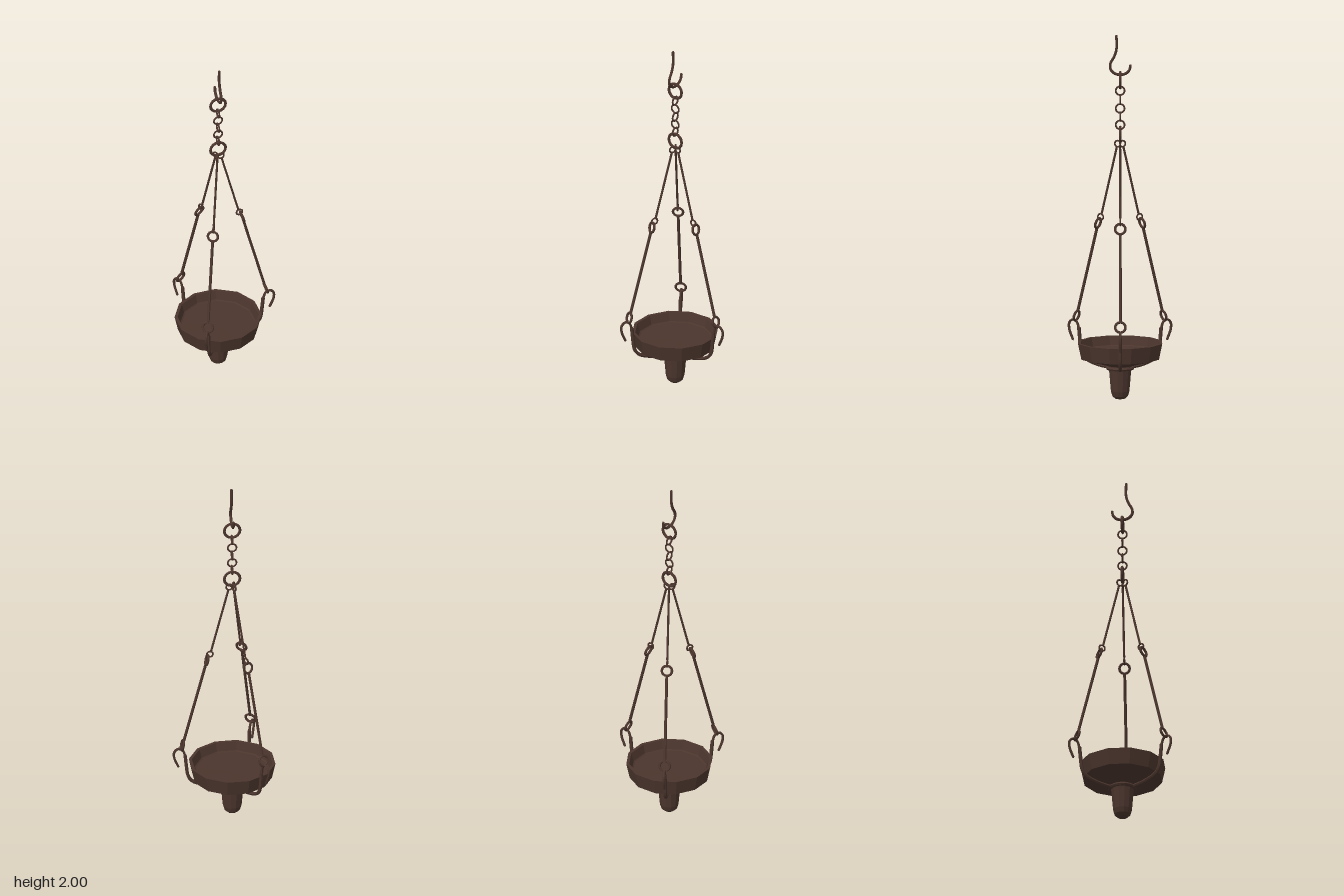
import * as THREE from 'three';

export function createModel() {
  const iron = new THREE.MeshStandardMaterial({ color: 0x4b352d });
  iron.name = 'dark brown iron';
  const root = new THREE.Group();
  root.name = 'hangingLamp';
  root.position.x = -0.05;

  // Adds a mesh with faceted normals
  function add(parent, name, geometry, x = 0, y = 0, z = 0) {
    const flat = geometry.index ? geometry.toNonIndexed() : geometry;
    flat.computeVertexNormals();
    const mesh = new THREE.Mesh(flat, iron);
    mesh.name = name;
    mesh.position.set(x, y, z);
    parent.add(mesh);
    return mesh;
  }
  const ring = (parent, name, radius, wire, x, y) =>
    add(parent, name, new THREE.TorusGeometry(radius, wire, 6, 16), x, y);

  // Bent wire through [x, y, z] points, closed at both ends
  function wire(parent, name, points, radius, steps) {
    const curve = new THREE.CatmullRomCurve3(points.map(p => new THREE.Vector3(...p)));
    add(parent, name, new THREE.TubeGeometry(curve, steps, radius, 6));
    for (const t of [0, 1]) {
      const p = curve.getPoint(t);
      add(parent, name + 'End', new THREE.IcosahedronGeometry(radius * 0.98, 0), p.x, p.y, p.z);
    }
  }

  // Straight rod between two points in the radial plane
  function rod(parent, name, a, b, radius) {
    const dx = b[0] - a[0], dy = b[1] - a[1];
    const mesh = add(parent, name, new THREE.CylinderGeometry(radius, radius, Math.hypot(dx, dy), 6),
      (a[0] + b[0]) / 2, (a[1] + b[1]) / 2);
    mesh.rotation.z = Math.atan2(dy, dx) - Math.PI / 2;
  }

  // Twelve-sided bowl with its tapered stem; radii are measured to the flats
  const profile = [
    [0, 0], [0.025, 0.003], [0.042, 0.018], [0.05, 0.045], [0.06, 0.16], [0.065, 0.185],
    [0.21, 0.225], [0.228, 0.312], [0.212, 0.312], [0.199, 0.265], [0.192, 0.26], [0, 0.255],
  ].map(([r, y]) => new THREE.Vector2(r / Math.cos(Math.PI / 12), y));
  add(root, 'bowl', new THREE.LatheGeometry(profile, 12, Math.PI / 12));

  // Collar where the three arms meet
  const collar = add(root, 'collar', new THREE.TorusGeometry(0.068, 0.01, 6, 24), 0, 0.172);
  collar.rotation.x = Math.PI / 2;

  // Three hanging arms
  for (let i = 0; i < 3; i++) {
    const arm = new THREE.Group();
    arm.name = 'arm' + (i + 1);
    arm.rotation.y = i * Math.PI * 2 / 3;
    root.add(arm);

    wire(arm, 'cradle', [[0.065, 0.17, 0], [0.14, 0.18, 0], [0.215, 0.207, 0], [0.24, 0.24, 0],
      [0.25, 0.3, 0], [0.257, 0.37, 0]], 0.01, 20);
    wire(arm, 'hook', [[0.257, 0.365, 0], [0.27, 0.402, 0], [0.295, 0.414, 0], [0.317, 0.395, 0],
      [0.317, 0.36, 0], [0.295, 0.305, 0]], 0.007, 20);

    const tilt = Math.atan2(0.13, 0.48);
    for (const [name, x, y] of [['lowerRing', 0.272, 0.437], ['middleRing', 0.138, 0.955]]) {
      const link = ring(arm, name, 0.028, 0.007, x, y);
      link.rotation.set(0, Math.PI / 2, tilt, 'ZYX');
    }
    rod(arm, 'lowerRod', [0.265, 0.46], [0.144, 0.93], 0.008);
    rod(arm, 'upperRod', [0.115, 1.01], [0.02, 1.385], 0.006);
    ring(arm, 'middleEye', 0.017, 0.005, 0.122, 0.99);
    ring(arm, 'topEye', 0.017, 0.005, 0.016, 1.4);
  }

  // Chain: links alternate between facing front and facing sideways
  [1.45, 1.505, 1.55, 1.595, 1.643, 1.692, 1.75].forEach((y, i) => {
    const large = i === 0 || i === 6;
    const link = ring(root, large ? 'largeRing' : 'chainLink', large ? 0.043 : 0.024, large ? 0.008 : 0.005, 0, y);
    if (i % 2) link.rotation.y = Math.PI / 2;
  });

  // Ceiling hook
  wire(root, 'ceilingHook', [[0, 1.992, 0.02], [0, 1.92, 0.02], [0, 1.88, 0.032], [0, 1.84, 0.053],
    [0, 1.81, 0.052], [0, 1.787, 0.03], [0, 1.78, 0], [0, 1.786, -0.03], [0, 1.805, -0.05],
    [0, 1.83, -0.056]], 0.008, 36);

  const model = new THREE.Group();
  model.name = 'model';
  model.add(root);
  return model;
}
